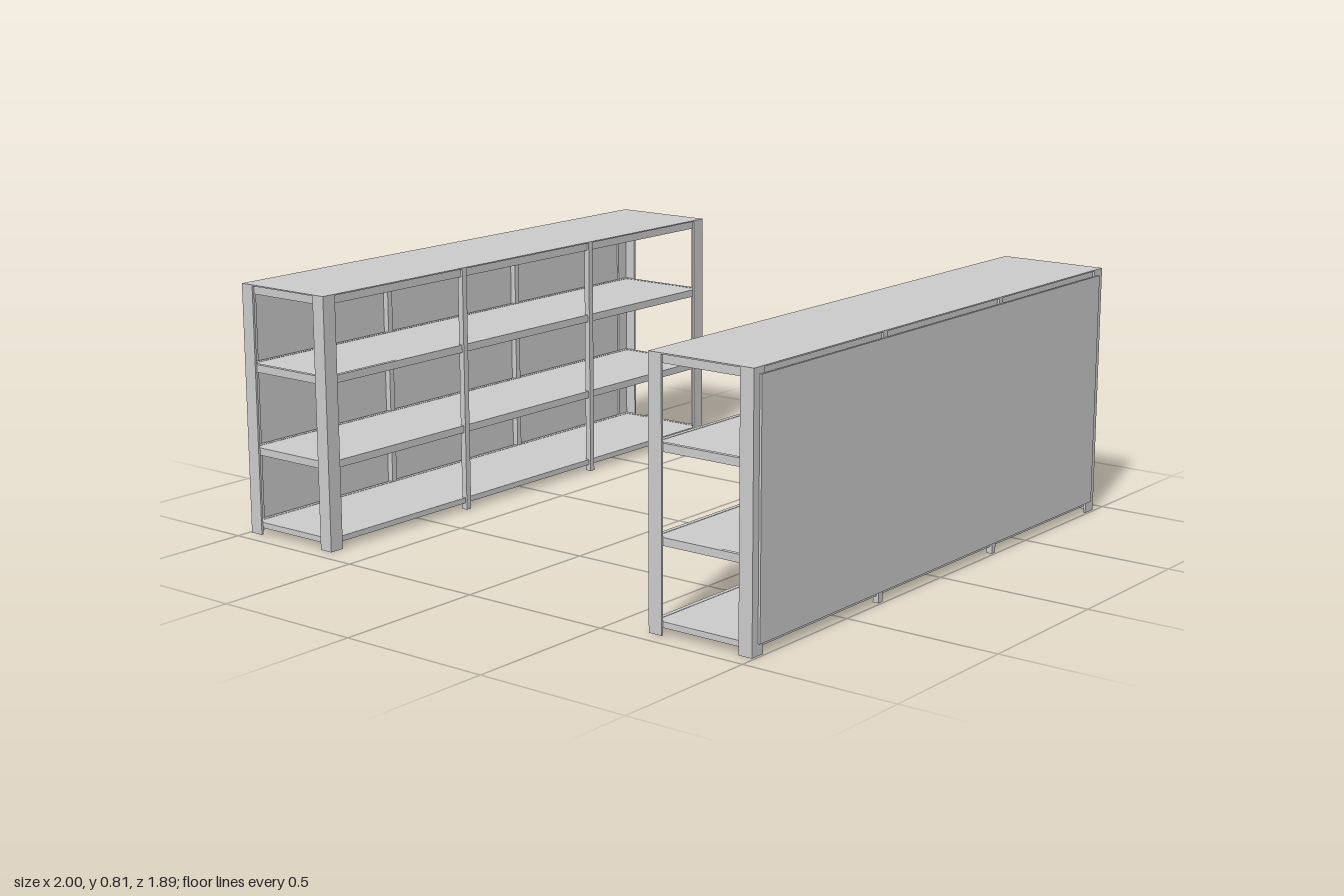
import * as THREE from 'three';

const mat = new THREE.MeshStandardMaterial({ color: 0xcccccc, flatShading: true });
const H = 0.81, HW = 0.18, HL = 0.947;   // rack height, half width, half length
const T = 0.007;                         // sheet thickness of the angle posts

function box(group, name, x0, x1, y0, y1, z0, z1) {
  const m = new THREE.Mesh(new THREE.BoxGeometry(x1 - x0, y1 - y0, z1 - z0), mat);
  m.position.set((x0 + x1) / 2, (y0 + y1) / 2, (z0 + z1) / 2);
  m.name = name;
  group.add(m);
}

// Same box, with x and z measured inward from the corner of the given signs
function cornerBox(group, name, sx, sz, a0, a1, y0, y1, b0, b1) {
  const xs = [sx * (HW - a0), sx * (HW - a1)].sort((a, b) => a - b);
  const zs = [sz * (HL - b0), sz * (HL - b1)].sort((a, b) => a - b);
  box(group, name, xs[0], xs[1], y0, y1, zs[0], zs[1]);
}

// One rack; its closed back panel lies on the +x or -x side
function rack(name, backSide) {
  const g = new THREE.Group();
  g.name = name;
  const top = H - 0.004;

  // Corner posts of angle section
  for (const sx of [-1, 1]) for (const sz of [-1, 1]) {
    cornerBox(g, 'cornerPostEndFlange', sx, sz, 0, 0.046, 0, top, 0, T);
    cornerBox(g, 'cornerPostSideFlange', sx, sz, 0, T, 0, top, T, 0.05);
  }

  // Slim posts dividing each rack into three bays
  for (const sx of [-1, 1]) for (const z of [-0.317, 0.317]) {
    const x = sx * (HW - 0.01);
    box(g, 'middlePost', x - 0.01, x + 0.01, 0, top, z - 0.01, z + 0.01);
  }

  // Shelf levels: rails all round, cross rails and a thin deck
  const levels = [[0.022, 0.04], [0.261, 0.285], [0.53, 0.555], [0.78, top]];
  levels.forEach(([y0, y1], i) => {
    for (const s of [-1, 1]) {
      cornerBox(g, 'sideRail', s, 1, T, T + 0.014, y0, y1, T, 2 * HL - T);
      cornerBox(g, 'endRail', 1, s, T, 2 * HW - T, y0, y1, T, T + 0.014);
    }
    for (const z of [-0.317, 0.317])
      box(g, 'crossRail', -HW + 0.02, HW - 0.02, y0, y1 - 0.005, z - 0.01, z + 0.01);
    if (i < 3) box(g, 'shelf', -HW + 0.02, HW - 0.02, y1 - 0.006, y1 - 0.001, -HL + 0.02, HL - 0.02);
  });

  // Top board
  box(g, 'topBoard', -HW, HW, top, H, -HL, HL);

  // Back panel
  const xs = [backSide * HW, backSide * (HW + 0.007)].sort((a, b) => a - b);
  box(g, 'backPanel', xs[0], xs[1], 0.035, 0.79, -0.92, 0.92);

  g.position.x = backSide * 0.813;
  return g;
}

export function createModel() {
  const model = new THREE.Group();
  model.name = 'shelvingRacks';
  model.add(rack('leftRack', 1), rack('rightRack', -1));
  return model;
}
